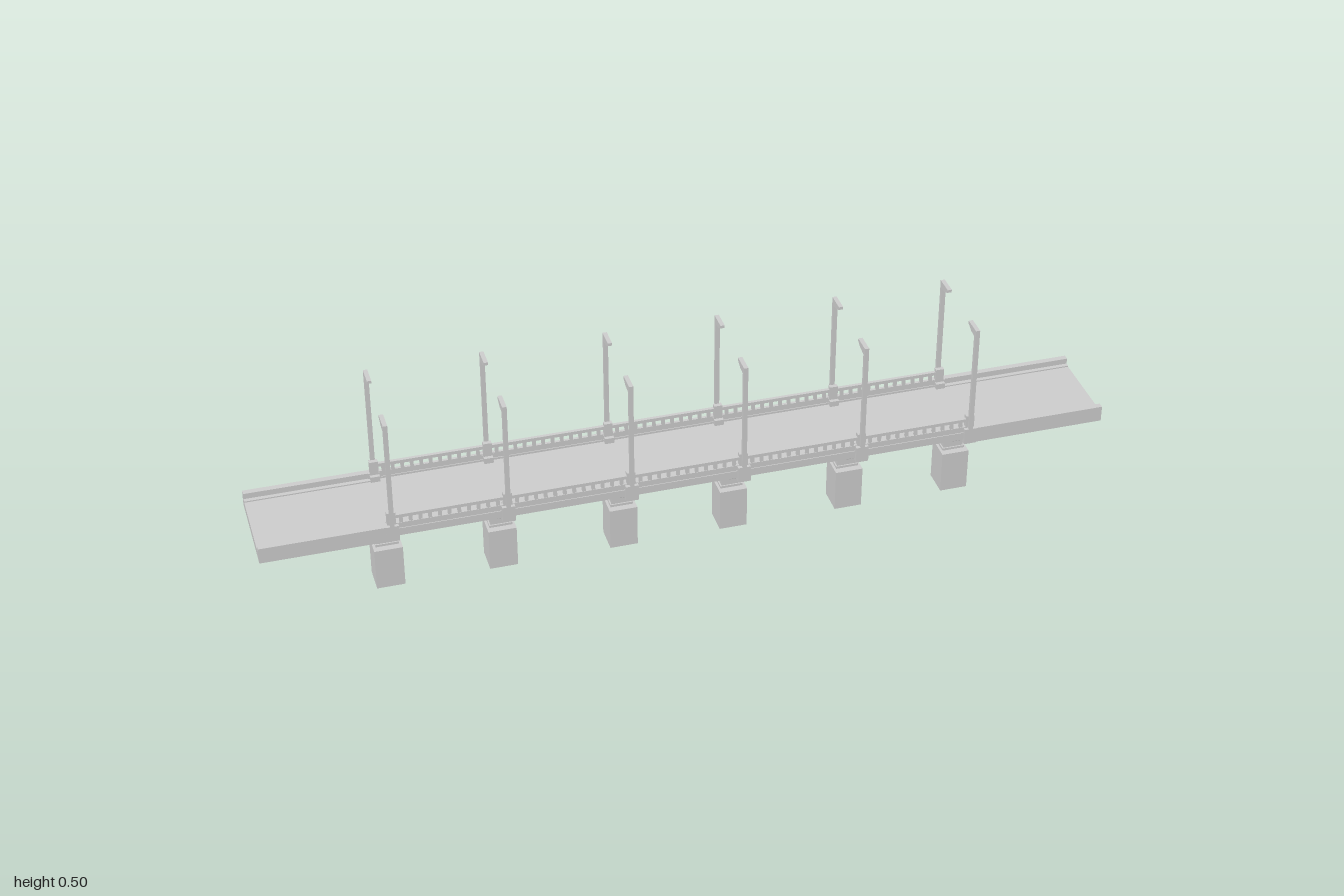
import * as THREE from 'three';

const material = new THREE.MeshStandardMaterial({ color: 0xcccccc, flatShading: true });
const stations = [-0.70, -0.435, -0.148, 0.118, 0.403, 0.67];

// Box given by its minimum and maximum corners
function box(parent, name, x0, x1, y0, y1, z0, z1) {
  const mesh = new THREE.Mesh(new THREE.BoxGeometry(x1 - x0, y1 - y0, Math.abs(z1 - z0)), material);
  mesh.position.set((x0 + x1) / 2, (y0 + y1) / 2, (z0 + z1) / 2);
  mesh.name = name;
  parent.add(mesh);
}

// Cross-section in (z, y), extruded along x and centred on x = 0
function section(parent, name, points, width, side) {
  const shape = new THREE.Shape(points.map(([z, y]) => new THREE.Vector2(z * side, y)));
  const geo = new THREE.ExtrudeGeometry(shape, { depth: width, bevelEnabled: false });
  geo.translate(0, 0, -width / 2);
  geo.rotateY(-Math.PI / 2);
  const mesh = new THREE.Mesh(geo, material);
  mesh.name = name;
  parent.add(mesh);
}

// Foundation, column and curved braces that carry the deck
function pier(x) {
  const g = new THREE.Group();
  g.name = 'pier';
  g.position.x = x;
  box(g, 'foundation', -0.033, 0.033, 0, 0.105, -0.033, 0.033);
  box(g, 'columnFoot', -0.027, 0.027, 0.105, 0.111, -0.017, 0.017);
  box(g, 'column', -0.024, 0.024, 0.111, 0.15, -0.014, 0.014);
  box(g, 'columnNeck', -0.014, 0.014, 0.15, 0.19, -0.014, 0.014);
  box(g, 'crossBeam', -0.014, 0.014, 0.188, 0.202, -0.113, 0.113);
  for (const s of [1, -1]) {
    section(g, 'brace', [
      [0.012, 0.14], [0.034, 0.14], [0.037, 0.151], [0.052, 0.164], [0.088, 0.189],
      [0.068, 0.189], [0.044, 0.17], [0.03, 0.154], [0.012, 0.152],
    ], 0.022, s);
    section(g, 'columnHaunch', [[0.014, 0.178], [0.014, 0.189], [0.022, 0.189]], 0.024, s);
  }
  return g;
}

// Lamp post with stepped base and tapered arm
function lampPost(x, s) {
  const g = new THREE.Group();
  g.name = 'lampPost';
  g.position.x = x;
  box(g, 'postFoot', -0.015, 0.015, 0.188, 0.228, s * 0.098, s * 0.115);
  box(g, 'postPlinth', -0.011, 0.011, 0.205, 0.225, s * 0.086, s * 0.1);
  box(g, 'railPost', -0.01, 0.01, 0.225, 0.26, s * 0.095, s * 0.107);
  box(g, 'post', -0.005, 0.005, 0.225, 0.5, s * 0.105, s * 0.115);
  section(g, 'lampArm', [
    [0.115, 0.5], [0.068, 0.5], [0.068, 0.493], [0.085, 0.484], [0.105, 0.481], [0.115, 0.481],
  ], 0.01, s);
  return g;
}

// Kerb with balusters and a handrail
function railing(x0, x1, s) {
  const g = new THREE.Group();
  g.name = 'railing';
  box(g, 'kerb', x0, x1, 0.197, 0.216, s * 0.097, s * 0.108);
  box(g, 'lowerRail', x0, x1, 0.216, 0.23, s * 0.099, s * 0.106);
  box(g, 'handrail', x0, x1, 0.244, 0.252, s * 0.098, s * 0.106);
  const count = Math.round((x1 - x0) / 0.022);
  for (let i = 1; i < count; i++) {
    const x = x0 + ((x1 - x0) * i) / count;
    box(g, 'baluster', x - 0.004, x + 0.004, 0.23, 0.244, s * 0.099, s * 0.105);
  }
  return g;
}

export function createModel() {
  const model = new THREE.Group();
  model.name = 'bridge';

  // Solid approach ramps with parapets
  for (const [x0, x1] of [[-1, -0.7], [0.67, 1]]) {
    const ramp = new THREE.Group();
    ramp.name = 'approach';
    box(ramp, 'approachDeck', x0, x1, 0.189, 0.211, -0.114, 0.114);
    for (const s of [1, -1]) box(ramp, 'parapet', x0, x1, 0.211, 0.228, s * 0.1, s * 0.114);
    for (const s of [1, -1]) box(ramp, 'gutter', x0, x1, 0.211, 0.214, s * 0.09, s * 0.1);
    model.add(ramp);
  }

  // Spans between piers: slab, girders below, railings on both sides
  for (let i = 0; i < stations.length - 1; i++) {
    const x0 = stations[i], x1 = stations[i + 1];
    const span = new THREE.Group();
    span.name = 'span';
    box(span, 'deckSlab', x0, x1, 0.201, 0.211, -0.104, 0.104);
    for (let k = -3; k <= 3; k++) {
      box(span, 'girder', x0, x1, 0.191, 0.201, k * 0.027 - 0.006, k * 0.027 + 0.006);
    }
    for (const s of [1, -1]) span.add(railing(x0, x1, s));
    model.add(span);
  }

  for (const x of stations) {
    model.add(pier(x));
    for (const s of [1, -1]) model.add(lampPost(x, s));
  }
  return model;
}
